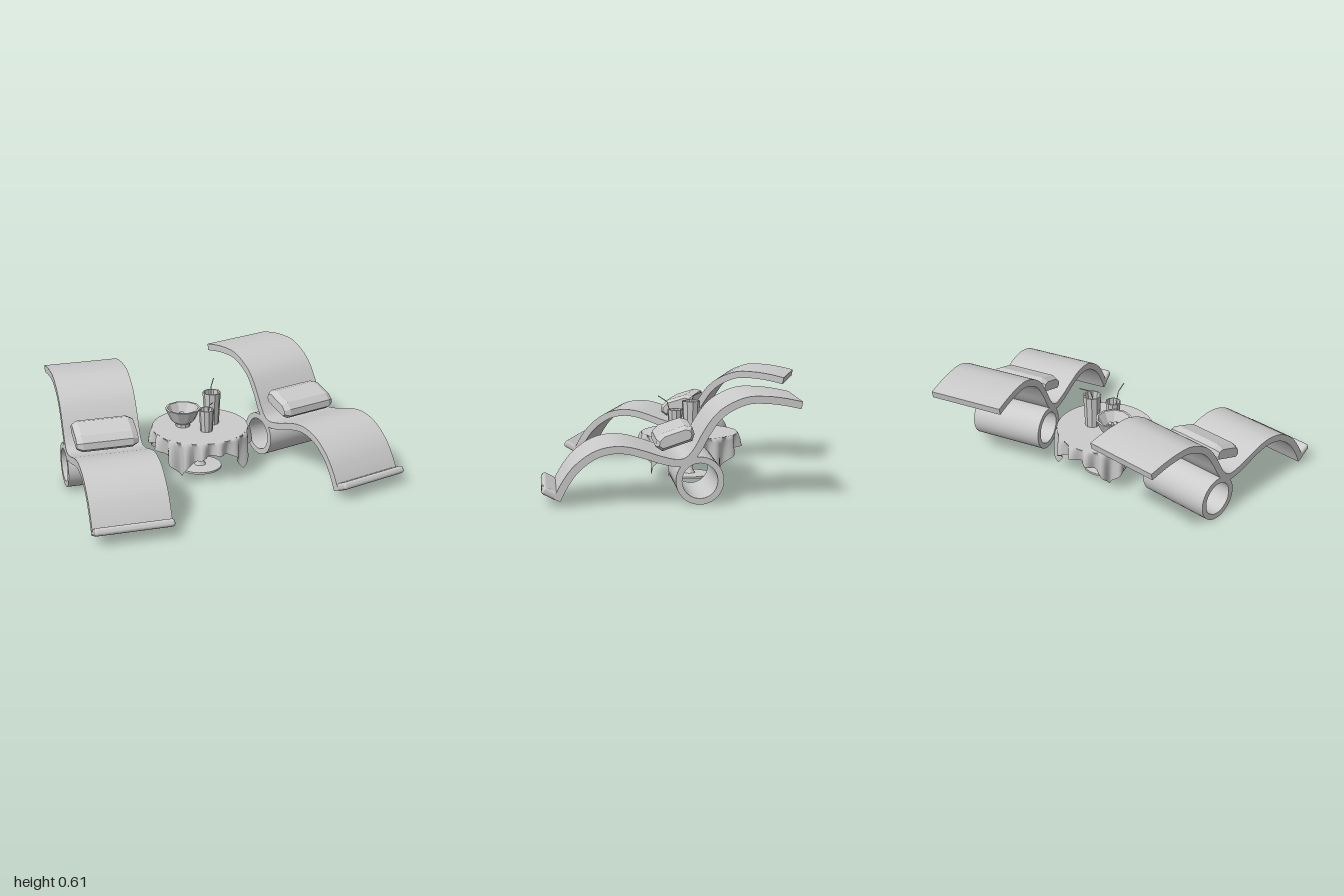
import * as THREE from 'three';
import { toCreasedNormals } from 'three/addons/utils/BufferGeometryUtils.js';
import { RoundedBoxGeometry } from 'three/addons/geometries/RoundedBoxGeometry.js';
import { ParametricGeometry } from 'three/addons/geometries/ParametricGeometry.js';

const smooth = new THREE.MeshStandardMaterial({ color: 0xcccccc });
const flat = new THREE.MeshStandardMaterial({ color: 0xcccccc, flatShading: true });
const cloth = new THREE.MeshStandardMaterial({ color: 0xcccccc, side: THREE.DoubleSide });
const V2 = (x, y) => new THREE.Vector2(x, y);
const V3 = (x, y, z) => new THREE.Vector3(x, y, z);

function add(parent, name, geometry, material, x = 0, y = 0, z = 0) {
  const mesh = new THREE.Mesh(geometry, material);
  mesh.name = name;
  mesh.position.set(x, y, z);
  parent.add(mesh);
  return mesh;
}

// Extrude a side profile drawn as (z, y) across the x axis, centred on x = 0
function extrudeAcross(shape, width, options = {}) {
  const g = new THREE.ExtrudeGeometry(shape, { depth: width, bevelEnabled: false, ...options });
  return g.rotateY(-Math.PI / 2).translate(width / 2, 0, 0);
}

// Wavy board: a centre line (z, y) thickened to both sides
function boardGeometry(width, thickness) {
  const line = new THREE.SplineCurve([
    [0.64, 0.04], [0.6, 0.12], [0.53, 0.215], [0.43, 0.288], [0.33, 0.315], [0.24, 0.31],
    [0.15, 0.285], [0.06, 0.255], [-0.03, 0.237], [-0.09, 0.253], [-0.14, 0.31], [-0.19, 0.4],
    [-0.25, 0.485], [-0.32, 0.54], [-0.42, 0.58], [-0.52, 0.583], [-0.62, 0.572], [-0.725, 0.55],
  ].map(p => V2(...p)));
  const upper = [], lower = [], n = 64;
  for (let i = 0; i <= n; i++) {
    const p = line.getPoint(i / n), t = line.getTangent(i / n);
    const normal = V2(t.y, -t.x).multiplyScalar(thickness / 2);
    upper.push(p.clone().add(normal));
    lower.unshift(p.clone().sub(normal));
  }
  return toCreasedNormals(extrudeAcross(new THREE.Shape([...upper, ...lower]), width), 0.6);
}

function createLounger(name, x, z, angle) {
  const lounger = new THREE.Group();
  lounger.name = name;
  lounger.position.set(x, 0, z);
  lounger.rotation.y = angle;
  const width = 0.46;

  add(lounger, 'board', boardGeometry(width, 0.042), smooth);

  // Upturned lip at the foot end
  const lip = add(lounger, 'footLip', new RoundedBoxGeometry(width, 0.045, 0.1, 2, 0.018), smooth, 0, 0.078, 0.677);
  lip.rotation.x = -0.48;

  // Hollow roller that carries the board
  const ring = new THREE.Shape().absarc(0, 0, 0.135, 0, Math.PI * 2);
  ring.holes.push(new THREE.Path().absarc(0, 0, 0.1, 0, Math.PI * 2, true));
  const tube = extrudeAcross(ring, width, { curveSegments: 24 });
  add(lounger, 'rollerBase', toCreasedNormals(tube, 0.6), smooth, 0, 0.135, -0.154);

  // Cushion with chamfered edges
  const side = new THREE.Shape([
    V2(-0.08, -0.03), V2(0.08, -0.03), V2(0.095, -0.01), V2(0.085, 0.012),
    V2(0.05, 0.03), V2(-0.07, 0.03), V2(-0.095, 0.015), V2(-0.095, -0.01),
  ]);
  const pillow = extrudeAcross(side, 0.3, {
    bevelEnabled: true, bevelThickness: 0.035, bevelSize: 0.018, bevelSegments: 1,
  });
  const cushion = add(lounger, 'cushion', pillow, flat, -0.005, 0.365, -0.02);
  cushion.rotation.x = 0.32;
  return lounger;
}

// Tumbler with a bent straw
function createDrink(name, x, z, radius, height, straw) {
  const drink = new THREE.Group();
  drink.name = name;
  drink.position.set(x, 0.272, z);
  const inner = radius * 0.85;
  add(drink, 'glass', new THREE.LatheGeometry([
    V2(0, 0), V2(radius * 0.8, 0), V2(radius, height),
    V2(inner, height), V2(inner * 0.9, height * 0.55), V2(0, height * 0.55),
  ], 10), flat);
  const path = new THREE.CurvePath();
  for (let i = 1; i < straw.length; i++) path.add(new THREE.LineCurve3(straw[i - 1], straw[i]));
  add(drink, 'straw', new THREE.TubeGeometry(path, 16, 0.003, 6), cloth);
  return drink;
}

function createTable() {
  const table = new THREE.Group();
  table.name = 'table';
  table.position.set(-0.065, 0, -0.09);
  const topY = 0.272, radius = 0.295, halfCloth = 0.375;

  // Round foot and flared stem
  add(table, 'pedestal', toCreasedNormals(new THREE.LatheGeometry([
    V2(0, 0), V2(0.133, 0), V2(0.133, 0.012), V2(0.035, 0.016), V2(0.022, 0.04),
    V2(0.018, 0.09), V2(0.026, 0.16), V2(0.045, 0.22), V2(0.07, 0.25), V2(0, 0.25),
  ], 28), 0.7), smooth);
  add(table, 'tableTop', new THREE.CylinderGeometry(0.285, 0.285, 0.018, 40), smooth, 0, 0.258, 0);

  // Square cloth: flat on top, hanging in folds with four low corners
  const top = new THREE.CircleGeometry(radius, 64).rotateX(-Math.PI / 2);
  add(table, 'clothTop', top, cloth, 0, topY, 0);
  const skirt = new ParametricGeometry((u, v, target) => {
    const a = u * Math.PI * 2, c = Math.cos(a), s = Math.sin(a);
    const length = halfCloth / Math.max(Math.abs(c), Math.abs(s)) - radius;
    const fold = Math.cos(17 * a + 0.8 * Math.sin(3 * a));
    const r = radius + Math.sqrt(v) * (0.014 + 0.024 * fold) - v * length * 0.1;
    target.set(r * c, topY - v * length, r * s);
  }, 136, 6);
  add(table, 'clothSkirt', skirt, cloth);
  return table;
}

// Faceted bowl holding small pieces of fruit
function createBowl() {
  const bowl = new THREE.Group();
  bowl.name = 'fruitBowl';
  bowl.position.set(-0.162, 0.272, -0.13);
  add(bowl, 'bowl', new THREE.LatheGeometry([
    V2(0, 0), V2(0.045, 0), V2(0.045, 0.02), V2(0.075, 0.042), V2(0.11, 0.118),
    V2(0.096, 0.118), V2(0.06, 0.05), V2(0, 0.045),
  ], 10), flat);
  for (const [x, z] of [[-0.025, -0.01], [0.005, -0.03], [0.025, 0.005], [0.002, 0.025]])
    add(bowl, 'fruit', new THREE.DodecahedronGeometry(0.02), flat, x, 0.062, z);
  return bowl;
}

export function createModel() {
  const model = new THREE.Group();
  model.name = 'loungeSet';
  model.add(
    createLounger('rightLounger', -0.71, 0.055, -0.083),
    createLounger('leftLounger', 0.608, -0.047, 0.224),
    createTable(),
    createBowl(),
    createDrink('tallDrink', 0.02, -0.11, 0.056, 0.203,
      [V3(-0.01, 0.11, 0.02), V3(0.002, 0.235, -0.015), V3(0.04, 0.264, -0.07)]),
    createDrink('shortDrink', -0.055, -0.003, 0.047, 0.138,
      [V3(0, 0.08, 0.02), V3(0, 0.185, 0.05), V3(0, 0.22, 0.106)]),
  );
  return model;
}
